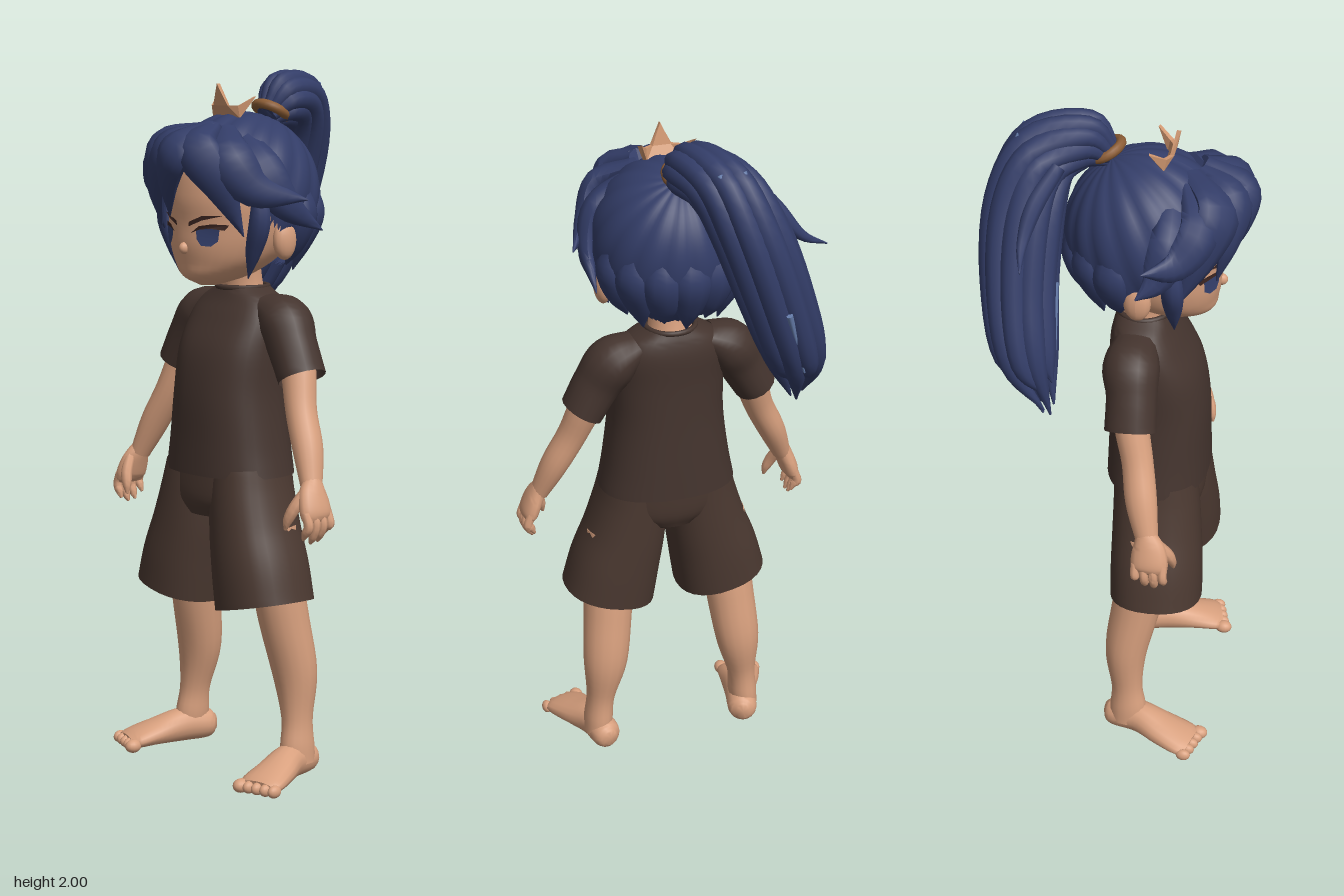
import * as THREE from 'three';
import { toCreasedNormals } from 'three/addons/utils/BufferGeometryUtils.js';

const V = (x, y, z) => new THREE.Vector3(x, y, z);
const X = V(1, 0, 0), Y = V(0, 1, 0), Z = V(0, 0, 1);
const HEAD = V(0, 1.65, 0.06);

function paint(name, color, side = THREE.FrontSide) {
  const m = new THREE.MeshStandardMaterial({ color, side });
  m.name = name;
  return m;
}

// Smooth skin through elliptical sections [x, y, z, width radius, depth radius].
function loft(pts, { sides = 16, normal = () => Z, power = 1, cap = true, level = false } = {}) {
  const curve = (f) => new THREE.CatmullRomCurve3(pts.map(f), false, 'catmullrom');
  const path = curve((p) => V(p[0], p[1], p[2])), size = curve((p) => V(p[3], p[4], 0));
  const seg = (pts.length - 1) * 5, pos = [], idx = [];
  const bend = (c) => Math.sign(c) * Math.abs(c) ** power;
  for (let i = 0; i <= seg; i++) {
    const c = path.getPoint(i / seg), r = size.getPoint(i / seg);
    const t = level ? Y.clone() : path.getTangent(i / seg);
    const u = normal(c).clone().cross(t).normalize(), n = t.clone().cross(u);
    for (let j = 0; j < sides; j++) {
      const a = (j / sides) * Math.PI * 2;
      const p = c.clone().addScaledVector(u, bend(Math.cos(a)) * Math.max(r.x, 0.001))
        .addScaledVector(n, bend(Math.sin(a)) * Math.max(r.y, 0.001));
      pos.push(p.x, p.y, p.z);
      const k = (j + 1) % sides, q = i * sides;
      if (i < seg) idx.push(q + j, q + k, q + sides + j, q + k, q + sides + k, q + sides + j);
    }
  }
  if (cap) {
    const n = pos.length / 3, end = seg * sides;
    pos.push(...path.getPoint(0).toArray(), ...path.getPoint(1).toArray());
    for (let j = 0; j < sides; j++) {
      const k = (j + 1) % sides;
      idx.push(n, k, j, n + 1, end + j, end + k);
    }
  }
  const g = new THREE.BufferGeometry();
  g.setAttribute('position', new THREE.Float32BufferAttribute(pos, 3));
  g.setIndex(idx);
  return toCreasedNormals(g, 1.0);
}

export function createModel() {
  const model = new THREE.Group();
  const skin = paint('skin', 0xd8a07e);
  const shirt = paint('shirt cloth', 0x44342e, THREE.DoubleSide);
  const shorts = paint('shorts cloth', 0x4a3830, THREE.DoubleSide);
  const hair = paint('navy hair', 0x333d68, THREE.DoubleSide);
  const shine = paint('hair highlight', 0x667dab);
  const rose = paint('rose gold', 0xcf966f, THREE.DoubleSide);
  const gold = paint('dark gold', 0x8c5d35);
  const iris = paint('eye blue', 0x36426f, THREE.DoubleSide);
  const dark = paint('lash brown', 0x3a2420, THREE.DoubleSide);
  const add = (name, geo, mat) => {
    const m = new THREE.Mesh(geo, mat);
    m.name = name;
    model.add(m);
    return m;
  };
  const ball = (name, mat, x, y, z, a, b, c) =>
    add(name, new THREE.SphereGeometry(1, 16, 12).scale(a, b, c).translate(x, y, z), mat);

  // Head, neck and nose
  const head = add('head', loft([
    [0, 1.405, 0.18, 0.025, 0.03], [0, 1.43, 0.155, 0.085, 0.1], [0, 1.47, 0.125, 0.137, 0.14],
    [0, 1.52, 0.1, 0.168, 0.173], [0, 1.58, 0.09, 0.185, 0.182], [0, 1.66, 0.08, 0.195, 0.195],
    [0, 1.76, 0.07, 0.17, 0.18], [0, 1.84, 0.06, 0.09, 0.1]], { sides: 32, level: true }), skin);
  add('neck', loft([[0, 1.33, 0.05, 0.08, 0.07], [0, 1.4, 0.06, 0.062, 0.06], [0, 1.5, 0.08, 0.065, 0.065]], { level: true }), skin);
  ball('nose', skin, 0, 1.512, 0.27, 0.014, 0.017, 0.018);

  // Thin plates laid onto the face
  const ray = new THREE.Raycaster();
  const plate = (name, mat, s, lift, pts) => {
    const g = new THREE.ShapeGeometry(new THREE.Shape(pts.map(([x, y]) => new THREE.Vector2(x * s, y))));
    const p = g.attributes.position;
    for (let i = 0; i < p.count; i++) {
      ray.set(V(p.getX(i), p.getY(i), 1), V(0, 0, -1));
      p.setZ(i, ray.intersectObject(head)[0].point.z + lift);
    }
    g.computeVertexNormals();
    add(name, g, mat);
  };

  for (const s of [1, -1]) {
    const L = (pts) => pts.map(([x, ...r]) => [x * s, ...r]);
    plate('iris', iris, s, 0.006, [[0.05, 1.565], [0.052, 1.54], [0.065, 1.522], [0.09, 1.52], [0.108, 1.535], [0.113, 1.57], [0.08, 1.57]]);
    plate('upper lash', dark, s, 0.008, [[0.035, 1.556], [0.06, 1.566], [0.09, 1.57], [0.125, 1.565], [0.135, 1.58], [0.095, 1.582], [0.06, 1.576]]);
    plate('eyebrow', dark, s, 0.007, [[0.025, 1.574], [0.07, 1.592], [0.125, 1.606], [0.07, 1.604], [0.027, 1.587]]);
    ball('ear', skin, s * 0.193, 1.535, 0.07, 0.026, 0.055, 0.038).geometry.computeVertexNormals();

    // Arm and hand
    add('arm', loft(L([[0.16, 1.34, 0.05, 0.045, 0.045], [0.235, 1.2, 0.06, 0.05, 0.05], [0.285, 1.07, 0.09, 0.043, 0.045],
      [0.335, 0.97, 0.11, 0.04, 0.045], [0.378, 0.87, 0.135, 0.027, 0.032]])), skin);
    add('palm', loft(L([[0.375, 0.89, 0.13, 0.024, 0.028], [0.392, 0.85, 0.142, 0.026, 0.047],
      [0.408, 0.805, 0.147, 0.025, 0.053], [0.413, 0.782, 0.147, 0.014, 0.045]])), skin);
    for (let i = 0; i < 4; i++) {
      const z = 0.108 + i * 0.026, tip = [0.745, 0.726, 0.722, 0.735][i];
      add('finger', loft(L([[0.41, 0.81, z, 0.013, 0.013], [0.422, 0.775, z, 0.014, 0.013],
        [0.412, tip + 0.02, z + 0.002, 0.012, 0.012], [0.402, tip, z + 0.002, 0.004, 0.004]]), { sides: 8 }), skin);
    }
    add('thumb', loft(L([[0.385, 0.865, 0.165, 0.015, 0.015], [0.37, 0.82, 0.192, 0.018, 0.016],
      [0.356, 0.785, 0.203, 0.014, 0.013], [0.35, 0.758, 0.207, 0.004, 0.004]]), { sides: 8 }), skin);

    // Leg, foot and toes
    add('leg', loft(L([[0.16, 0.72, 0.1, 0.085, 0.085], [0.185, 0.55, 0.085, 0.075, 0.075], [0.195, 0.45, 0.07, 0.073, 0.072],
      [0.212, 0.3, 0.045, 0.067, 0.063], [0.228, 0.17, 0.05, 0.043, 0.047], [0.235, 0.09, 0.055, 0.043, 0.055],
      [0.24, 0.04, 0.055, 0.04, 0.055]])), skin);
    add('foot', loft(L([[0.215, 0.045, -0.015, 0.02, 0.025], [0.222, 0.046, 0.01, 0.044, 0.044], [0.24, 0.052, 0.09, 0.047, 0.05],
      [0.268, 0.04, 0.17, 0.061, 0.038], [0.288, 0.028, 0.235, 0.067, 0.026], [0.295, 0.024, 0.26, 0.055, 0.018]]), { normal: () => Y }), skin);
    for (let i = 0; i < 5; i++)
      ball('toe', skin, s * (0.244 + i * 0.026), 0.02, 0.276 - i * 0.008, i ? 0.015 : 0.021, i ? 0.018 : 0.02, i ? 0.022 : 0.026);

    // Sleeve and shorts leg, both open at the hem
    add('sleeve', loft(L([[0.1, 1.345, 0.05, 0.04, 0.06], [0.17, 1.305, 0.05, 0.074, 0.08], [0.215, 1.24, 0.06, 0.07, 0.072],
      [0.262, 1.155, 0.065, 0.063, 0.073]]), { cap: false }), shirt);
    add('shorts leg', loft(L([[0.098, 0.88, 0.11, 0.098, 0.12], [0.108, 0.8, 0.115, 0.108, 0.125], [0.128, 0.7, 0.12, 0.12, 0.13],
      [0.155, 0.6, 0.125, 0.132, 0.134], [0.176, 0.505, 0.128, 0.138, 0.134]]), { cap: false, power: 0.88, sides: 28 }), shorts);
  }

  // Clothes
  add('shirt body', loft([[0, 0.87, 0.105, 0.203, 0.148], [0, 0.96, 0.105, 0.186, 0.145], [0, 1.1, 0.105, 0.168, 0.14],
    [0, 1.22, 0.095, 0.166, 0.128], [0, 1.31, 0.07, 0.162, 0.105], [0, 1.36, 0.058, 0.135, 0.085],
    [0, 1.395, 0.056, 0.076, 0.07]], { level: true, cap: false, power: 0.85, sides: 36 }), shirt);
  add('collar', new THREE.TorusGeometry(0.072, 0.008, 8, 28).rotateX(Math.PI / 2).translate(0, 1.393, 0.056), shirt);
  add('shorts seat', loft([[0, 0.75, 0.115, 0.1, 0.11], [0, 0.8, 0.112, 0.18, 0.128], [0, 0.9, 0.105, 0.185, 0.13]],
    { level: true, power: 0.85, sides: 28 }), shorts);

  // Hair cap: grooves run to a crown that is tipped back, hem is high at the front
  const cap = new THREE.SphereGeometry(1, 96, 28), cp = cap.attributes.position;
  for (let i = 0; i < cp.count; i++) {
    const a = ((i % 97) / 96) * Math.PI * 2, v = Math.floor(i / 97) / 28;
    const back = THREE.MathUtils.smoothstep((1 - Math.cos(a)) / 2, 0, 0.75);
    const th = v * (1.6 + 0.52 * back + 0.06 * Math.abs(Math.sin(a * 8)));
    const r = 1 + 0.035 * (Math.abs(Math.sin(a * 8 + v)) - 0.6) * Math.sin(th);
    const d = V(Math.sin(a) * Math.sin(th), Math.cos(th), Math.cos(a) * Math.sin(th)).applyAxisAngle(X, -0.45);
    cp.setXYZ(i, d.x * 0.222 * r, 1.65 + d.y * 0.235 * r, 0.065 + d.z * 0.228 * r);
  }
  // Winding follows the azimuth, so faces are turned outward
  const ci = cap.index.array;
  for (let i = 0; i < ci.length; i += 3) [ci[i], ci[i + 1]] = [ci[i + 1], ci[i]];
  cap.computeVertexNormals();
  add('hair cap', cap, hair);

  // Fringe and side locks: four points each, with a half width
  const fromHead = (p) => p.clone().sub(HEAD);
  const lock = (name, w, pts) => add(name, loft(pts.map((p, i) =>
    [...p, w * [0.7, 1.1, 0.85, 0.03][i], [0.025, 0.036, 0.026, 0.002][i]]), { sides: 10, normal: fromHead }), hair);
  const fringe = [
    [0.06, [0.03, 1.83, 0.21], [-0.02, 1.79, 0.305], [-0.08, 1.69, 0.3], [-0.1, 1.57, 0.27]],
    [0.065, [0, 1.83, 0.19], [-0.1, 1.79, 0.27], [-0.16, 1.68, 0.24], [-0.19, 1.54, 0.18]],
    [0.055, [-0.05, 1.82, 0.19], [-0.16, 1.76, 0.23], [-0.23, 1.69, 0.18], [-0.31, 1.7, 0.1]],
    [0.055, [-0.08, 1.81, 0.15], [-0.19, 1.73, 0.16], [-0.23, 1.64, 0.13], [-0.28, 1.6, 0.08]],
    [0.055, [0.05, 1.84, 0.21], [0.035, 1.79, 0.32], [-0.005, 1.71, 0.325], [-0.045, 1.6, 0.285]],
    [0.055, [0.04, 1.84, 0.21], [0.09, 1.79, 0.3], [0.145, 1.69, 0.265], [0.17, 1.55, 0.2]],
    [0.06, [0.06, 1.83, 0.18], [0.15, 1.77, 0.24], [0.21, 1.68, 0.19], [0.278, 1.65, 0.06]],
    [0.055, [0.08, 1.82, 0.14], [0.185, 1.74, 0.15], [0.228, 1.64, 0.1], [0.24, 1.56, -0.03]]];
  for (const [w, ...pts] of fringe) lock('fringe lock', w, pts);
  for (const s of [1, -1])
    lock('sideburn', 0.028, [[s * 0.19, 1.67, 0.16], [s * 0.197, 1.59, 0.165], [s * 0.172, 1.51, 0.165], [s * 0.148, 1.43, 0.165]]);
  for (let i = -3; i <= 3; i++) {
    const x = Math.sin(i * 0.42), z = -Math.cos(i * 0.42);
    const at = (r, y) => [x * r, y, 0.06 + z * r];
    lock('nape lock', 0.05, [at(0.19, 1.67), at(0.2, 1.6), at(0.175, 1.52), at(0.145, 1.44 + 0.02 * (i & 1))]);
  }

  // Ponytail: a core with strands wound around it
  const tail = [[0, 1.87, -0.04, 0.035], [-0.01, 1.915, -0.1, 0.078], [-0.065, 1.895, -0.2, 0.098], [-0.125, 1.78, -0.245, 0.108],
    [-0.2, 1.58, -0.25, 0.105], [-0.268, 1.39, -0.22, 0.088], [-0.305, 1.24, -0.155, 0.025]];
  const spine = new THREE.CatmullRomCurve3(tail.map((p) => V(p[0], p[1], p[2])), false, 'catmullrom');
  const strand = (name, mat, a, out, fat, from, to, drop = 0) => {
    const pts = tail.map(([x, y, z, r], i) => {
      const n = spine.getTangent(i / 6).cross(X).normalize();
      const c = V(x, y - (i === 6 ? drop : 0), z).addScaledVector(X, Math.cos(a) * r * out).addScaledVector(n, Math.sin(a) * r * out);
      const f = i === to ? 0.003 : r * fat;
      return [c.x, c.y, c.z, f, f];
    });
    add(name, loft(pts.slice(from, to + 1), { sides: 10, normal: () => X }), mat);
  };
  strand('ponytail core', hair, 0, 0, 0.78, 0, 6);
  for (let i = 0; i < 10; i++)
    strand('ponytail strand', hair, (i / 10) * Math.PI * 2, 0.68, 0.36, 0, 6, [0.02, -0.05, 0, -0.08][i % 4]);
  for (const [a, from] of [[-1.9, 2], [-1.2, 2], [1.7, 4], [-1.57, 4]])
    strand('hair highlight', shine, a, 0.98, 0.09, from, from + 1);
  add('loose strand', loft([[-0.14, 1.9, -0.15, 0.02, 0.02], [-0.21, 1.82, -0.2, 0.025, 0.025], [-0.28, 1.74, -0.22, 0.015, 0.015],
    [-0.36, 1.7, -0.21, 0.002, 0.002]], { sides: 8 }), hair);

  // Hair tie and the small pointed crown
  add('hair tie', new THREE.TorusGeometry(0.045, 0.014, 10, 28).rotateX(Math.PI / 2 - 0.5).translate(0, 1.885, -0.05), gold);
  const outline = [[-0.1, 0.06], [-0.06, 0], [-0.03, -0.012], [0, -0.015], [0.03, -0.012], [0.06, 0], [0.1, 0.06],
    [0.055, 0.035], [0.028, 0.035], [0, 0.095], [-0.028, 0.035], [-0.055, 0.035]];
  const crown = new THREE.ExtrudeGeometry(new THREE.Shape(outline.map((p) => new THREE.Vector2(...p))), { depth: 0.012, bevelEnabled: false });
  const kp = crown.attributes.position;
  for (let i = 0; i < kp.count; i++) {
    const a = kp.getX(i) / 0.075, h = kp.getY(i), r = 0.068 + kp.getZ(i) + h * 0.12;
    kp.setXYZ(i, Math.sin(a) * r, 1.868 + h, 0.06 + Math.cos(a) * r);
  }
  crown.computeVertexNormals();
  add('crown', crown, rose);
  return model;
}
